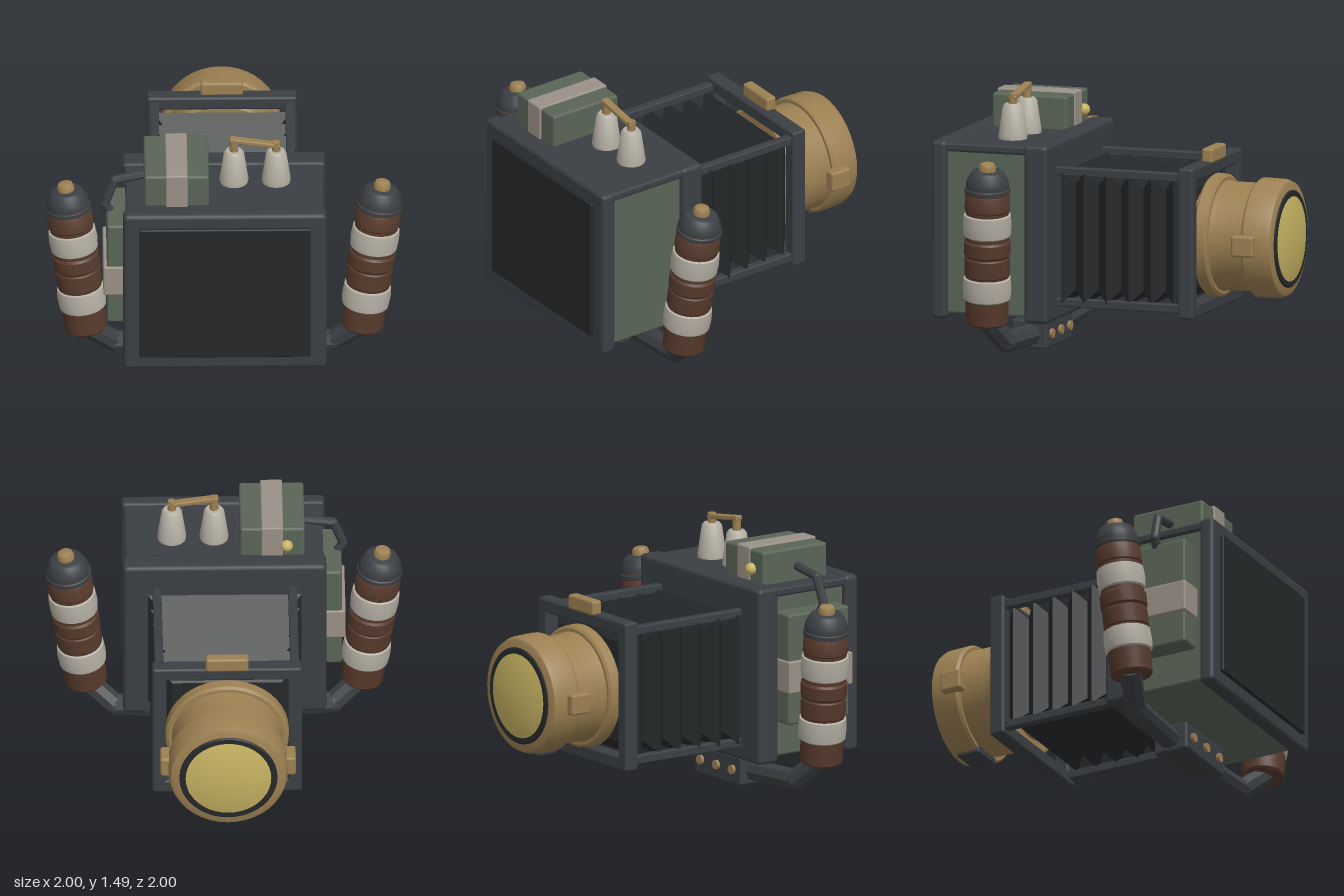
import * as THREE from 'three';
import { toCreasedNormals } from 'three/addons/utils/BufferGeometryUtils.js';
import { RoundedBoxGeometry } from 'three/addons/geometries/RoundedBoxGeometry.js';

const mat = (color, extra = {}) => new THREE.MeshStandardMaterial({ color, ...extra });
const M = {
  frame: mat(0x3b3f43), dark: mat(0x25282a), green: mat(0x5a6557), gold: mat(0x9c8052),
  tan: mat(0x9a9186), brown: mat(0x573a2c), cloth: mat(0xb5b0a4), glass: mat(0xc6b362),
};

export function createModel() {
  const root = new THREE.Group();

  const add = (name, geo, material, parent = root) => {
    const mesh = new THREE.Mesh(geo, material);
    mesh.name = name;
    parent.add(mesh);
    return mesh;
  };
  // Rounded box given by its limits on each axis
  const box = (name, [x0, x1], [y0, y1], [z0, z1], material, r = 0.015) => {
    const geo = new RoundedBoxGeometry(x1 - x0, y1 - y0, z1 - z0, 2, r);
    geo.translate((x0 + x1) / 2, (y0 + y1) / 2, (z0 + z1) / 2);
    return add(name, geo, material);
  };
  // Turned part from [radius, height] pairs
  const turned = (points, sides = 32) => toCreasedNormals(
    new THREE.LatheGeometry(points.map(([r, y]) => new THREE.Vector2(r, y)), sides), 0.6);
  // Straight rod between two points
  const rod = (name, a, b, r, material, sides = 8) => {
    const p = new THREE.Vector3(...a), q = new THREE.Vector3(...b);
    const mesh = add(name, toCreasedNormals(new THREE.CylinderGeometry(r, r, p.distanceTo(q), sides), 0.6), material);
    mesh.position.copy(p).lerp(q, 0.5);
    mesh.quaternion.setFromUnitVectors(new THREE.Vector3(0, 1, 0), q.sub(p).normalize());
    return mesh;
  };
  // Bent pipe: rods with rounded joints
  const pipe = (name, points, r, material) => {
    for (let i = 1; i < points.length; i++) {
      rod(name, points[i - 1], points[i], r, material);
      if (i < points.length - 1) {
        add(name + 'Joint', new THREE.SphereGeometry(r, 12, 8), material).position.set(...points[i]);
      }
    }
  };

  // Camera body
  box('bodyPanels', [-0.535, 0.535], [0.23, 1.17], [0.35, 0.93], M.green);
  box('topPlate', [-0.555, 0.555], [1.15, 1.2], [0.3, 0.95], M.frame);
  box('screenFrame', [-0.57, 0.57], [0.2, 1.21], [0.885, 0.975], M.frame, 0.025);
  box('bellowsFrame', [-0.57, 0.57], [0.2, 1.21], [0.285, 0.425], M.frame, 0.025);
  box('screen', [-0.48, 0.48], [0.285, 1.13], [0.93, 0.995], M.dark, 0.01);

  // Pleated bellows: a square tube whose rows alternate between ridge and valley
  const cy = 0.675, rows = 11, zBack = 0.25, step = 0.13 / 2;
  const bellows = new THREE.CylinderGeometry(1, 1, rows, 4, rows, false).rotateY(Math.PI / 4).rotateX(-Math.PI / 2);
  const pos = bellows.attributes.position;
  for (let i = 0; i < pos.count; i++) {
    const row = Math.round(rows / 2 - pos.getZ(i));
    const t = row / rows, dip = row % 2 ? 0.068 : 0;
    const sx = Math.abs(pos.getX(i)) < 0.01 ? 0 : Math.sign(pos.getX(i));
    const sy = Math.abs(pos.getY(i)) < 0.01 ? 0 : Math.sign(pos.getY(i));
    pos.setXYZ(i, sx * (0.43 - 0.055 * t - dip), cy + sy * (0.37 - 0.015 * t - dip), zBack - row * step);
  }
  add('bellows', bellows, mat(0x25282a, { flatShading: true }));

  // Four rails and the open front standard
  for (const s of [-1, 1]) {
    const x = s * 0.38, y = cy + s * 0.372;
    for (const v of [-1, 1]) {
      box('rail', [x - 0.025, x + 0.025], [cy + v * 0.372 - 0.025, cy + v * 0.372 + 0.025], [-0.5, 0.32], M.frame, 0.008);
    }
    box('standardPost', [x - 0.04, x + 0.04], [0.26, 1.1], [-0.53, -0.44], M.frame);
    box('standardBar', [-0.42, 0.42], [y + s * 0.015 - 0.04, y + s * 0.015 + 0.04], [-0.53, -0.44], M.frame);
  }
  box('standardClip', [-0.12, 0.12], [1.09, 1.175], [-0.54, -0.475], M.gold);

  // Lens, turned along the z axis
  const lens = new THREE.Group();
  lens.name = 'lens';
  lens.position.y = 0.67;
  root.add(lens);
  const lensPart = (name, points, material) => add(name, turned(points, 40).rotateX(-Math.PI / 2), material, lens);
  lensPart('lensBarrel', [[0, 0.42], [0.27, 0.42], [0.27, 0.5], [0.335, 0.5], [0.348, 0.515], [0.345, 0.57], [0.33, 0.582], [0.312, 0.582], [0.305, 0.63],
    [0.305, 0.78], [0.325, 0.78], [0.337, 0.795], [0.334, 0.92], [0.322, 0.95], [0.3, 0.96], [0, 0.96]], M.gold);
  lensPart('lensRing', [[0.275, 0.95], [0.275, 0.965], [0.268, 0.97], [0.24, 0.97]], M.dark);
  lensPart('lensGlass', [[0.252, 0.955], [0.248, 0.968], [0.2, 0.98], [0.14, 0.991], [0.07, 0.998], [0, 1]], M.glass);
  for (const s of [-1, 1]) {
    box('lensLug', [s * 0.345 - 0.035, s * 0.345 + 0.035], [0.61, 0.73], [-0.87, -0.74], M.gold);
  }
  box('lensTab', [-0.1, 0.1], [0.33, 0.375], [-0.91, -0.77], M.frame, 0.01);

  // Strapped packs on the top and on one side
  box('topPack', [-0.45, -0.088], [1.19, 1.39], [0.4, 0.845], M.green);
  box('topPackStrap', [-0.33, -0.207], [1.19, 1.4], [0.393, 0.857], M.tan, 0.01);
  box('sidePack', [-0.66, -0.52], [0.43, 1.065], [0.425, 0.845], M.green);
  box('sidePackStrap', [-0.68, -0.52], [0.615, 0.8], [0.415, 0.857], M.tan, 0.01);
  add('lamp', new THREE.SphereGeometry(0.034, 16, 12), M.glass).position.set(-0.35, 1.28, 0.39);
  pipe('cable', [[-0.43, 1.285, 0.635], [-0.615, 1.25, 0.65], [-0.67, 1.1, 0.66], [-0.62, 1.02, 0.65]], 0.026, M.frame);

  // Insulators with a linking bar
  for (const [x, top] of [[0.055, 1.48], [0.292, 1.455]]) {
    const insulator = turned([[0, 0], [0.08, 0], [0.081, 0.02], [0.057, 0.185], [0.045, 0.2], [0, 0.2]], 20);
    add('insulator', insulator, M.cloth).position.set(x, 1.2, 0.585);
    rod('terminal', [x, 1.39, 0.585], [x, top, 0.585], 0.024, M.gold, 12);
  }
  const link = add('linkBar', new RoundedBoxGeometry(0.285, 0.028, 0.045, 2, 0.008), M.gold);
  link.position.set(0.172, 1.452, 0.585);
  link.rotation.z = -0.15;

  // Wrapped handles, mirrored; every section is [name, material, profile along the grip]
  const sections = [
    ['gripCore', M.brown, [[0, 0], [0.11, 0], [0.12, 0.012], [0.122, 0.15], [0.122, 0.8], [0, 0.8]]],
    ['gripLowerWrap', M.cloth, [[0.12, 0.14], [0.132, 0.15], [0.137, 0.21], [0.132, 0.268], [0.12, 0.275]]],
    ['gripRib', M.brown, [[0.12, 0.28], [0.128, 0.29], [0.128, 0.385], [0.12, 0.395]]],
    ['gripRib', M.brown, [[0.12, 0.395], [0.132, 0.41], [0.132, 0.48], [0.12, 0.495]]],
    ['gripUpperWrap', M.cloth, [[0.12, 0.51], [0.132, 0.52], [0.137, 0.58], [0.132, 0.638], [0.12, 0.645]]],
    ['gripRib', M.brown, [[0.12, 0.66], [0.128, 0.67], [0.126, 0.755], [0.12, 0.765]]],
    ['gripCap', M.frame, [[0.118, 0.765], [0.129, 0.77], [0.129, 0.79], [0.122, 0.795], [0.122, 0.815], [0.116, 0.84], [0.092, 0.885], [0.08, 0.892], [0, 0.892]]],
    ['gripKnob', M.gold, [[0.047, 0.885], [0.048, 0.915], [0.04, 0.932], [0.02, 0.94], [0, 0.94]]],
  ];
  for (const s of [-1, 1]) {
    const grip = new THREE.Group();
    grip.name = s > 0 ? 'leftHandle' : 'rightHandle';
    const base = new THREE.Vector3(s * 0.772, 0.225, 0.568);
    const tip = new THREE.Vector3(s * 0.884, 1.1, 0.525);
    grip.position.copy(base);
    grip.quaternion.setFromUnitVectors(new THREE.Vector3(0, 1, 0), tip.sub(base).normalize());
    for (const [name, material, profile] of sections) add(name, turned(profile, 24), material, grip);
    root.add(grip);
    pipe('handleArm', [[s * 0.79, 0.25, 0.57], [s * 0.615, 0.1, 0.51], [s * 0.15, 0.075, 0.51]], 0.062, M.frame);
  }

  // Block under the body with bolts on both faces
  box('mountBlock', [-0.22, 0.22], [0, 0.165], [0.41, 0.62], M.frame);
  for (const x of [-0.15, 0, 0.15]) rod('bolt', [x, 0.085, 0.392], [x, 0.085, 0.637], 0.027, M.gold, 10);

  return root;
}
